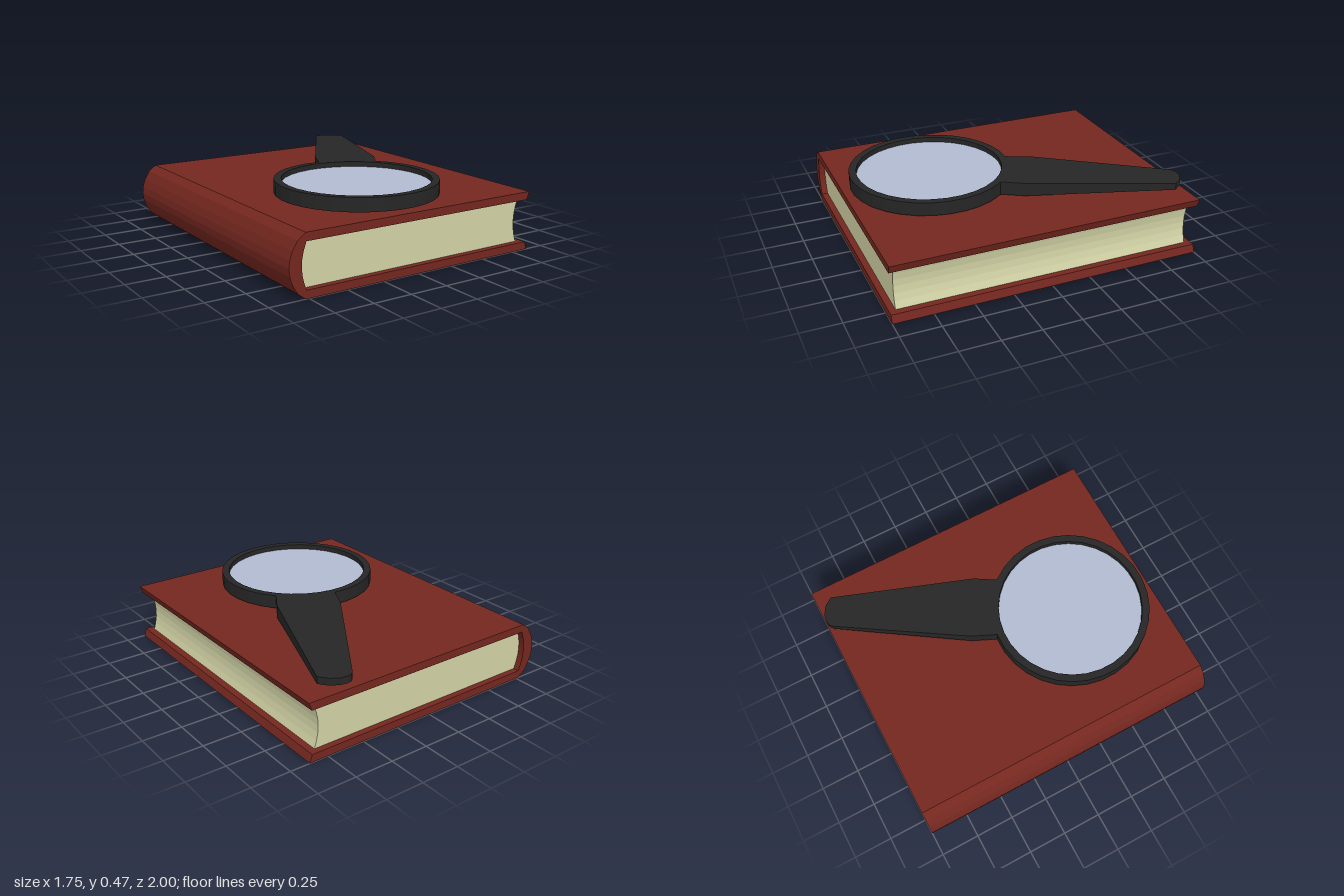
import * as THREE from 'three';

const material = (color) => new THREE.MeshStandardMaterial({ color, flatShading: true });
const leather = material(0x74271f);
const paper = material(0xd3d4a6);
const black = material(0x262626);
const glass = material(0xb2bbd2);

const MID = 0.187; // half the height of the closed book

// Upper half of a profile given as [x, height above middle], mirrored below it
const mirrored = (pts) => [
  ...pts.map(([x, y]) => [x, MID + y]),
  ...pts.slice().reverse().filter(([, y]) => y > 0).map(([x, y]) => [x, MID - y]),
];

// Profile in xy, extruded along z and centred
function slab(name, pts, depth, mat) {
  const shape = new THREE.Shape(pts.map(([x, y]) => new THREE.Vector2(x, y)));
  const geo = new THREE.ExtrudeGeometry(shape, { depth, bevelEnabled: false });
  geo.translate(0, 0, -depth / 2);
  const mesh = new THREE.Mesh(geo, mat);
  mesh.name = name;
  return mesh;
}

// Tapered handle: a loop of rectangular sections, thinning toward the tip
function handleGeometry(centre, midY) {
  const sections = [
    [[0, -0.065], [0.34, 0.11]],
    [[0.07, -0.22], [0.42, -0.02]],
    [[0.56, -0.97], [0.75, -0.9]],
    [[0.58, -0.988], [0.71, -0.955]],
    [[0.61, -0.994], [0.655, -0.988]],
  ];
  const pos = [];
  const index = [];
  sections.forEach(([a, b], i) => {
    const mx = (a[0] + b[0]) / 2 - centre.x;
    const mz = (a[1] + b[1]) / 2 - centre.z;
    const t = THREE.MathUtils.clamp((Math.hypot(mx, mz) - 0.64) / 0.92, 0, 1);
    const h = i < 2 ? 0.043 : THREE.MathUtils.lerp(0.043, 0.022, t);
    pos.push(a[0], midY + h, a[1], b[0], midY + h, b[1]);
    pos.push(b[0], midY - h, b[1], a[0], midY - h, a[1]);
    if (i === 0) return;
    for (let k = 0; k < 4; k++) {
      const p = (i - 1) * 4 + k, q = (i - 1) * 4 + ((k + 1) % 4);
      index.push(p, q, q + 4, p, q + 4, p + 4);
    }
  });
  const e = (sections.length - 1) * 4;
  index.push(0, 2, 1, 0, 3, 2, e, e + 1, e + 2, e, e + 2, e + 3);
  const geo = new THREE.BufferGeometry();
  geo.setAttribute('position', new THREE.Float32BufferAttribute(pos, 3));
  geo.setIndex(index);
  const flat = geo.toNonIndexed();
  flat.computeVertexNormals();
  return flat;
}

export function createModel() {
  const model = new THREE.Group();

  // Book: cover wraps round the spine, pages sit inside it
  const book = new THREE.Group();
  book.name = 'book';
  const innerSpine = [[-0.765, 0.137], [-0.782, 0.09], [-0.792, 0.045], [-0.795, 0]];
  const outerSpine = [[-0.875, 0], [-0.87, 0.045], [-0.853, 0.095], [-0.82, 0.15], [-0.77, MID]];
  const outer = mirrored([[0.872, MID], ...outerSpine.slice().reverse()]);
  const inner = mirrored([[0.855, 0.137], ...innerSpine]);
  book.add(slab('cover', [...outer, ...inner.reverse()], 2, leather));

  // Page block with a hollow fore edge
  const foreEdge = [[0.812, 0.137], [0.798, 0.09], [0.789, 0.045], [0.786, 0]];
  const pages = [...mirrored(innerSpine), ...mirrored(foreEdge).reverse()];
  book.add(slab('pages', pages, 1.92, paper));
  model.add(book);

  // Magnifying glass lying on the cover
  const magnifier = new THREE.Group();
  magnifier.name = 'magnifyingGlass';
  const centre = new THREE.Vector3(-0.05, 0, 0.44);
  const midY = 0.43;
  const SIDES = 32;

  const rimProfile = [[0.465, -0.043], [0.512, -0.043], [0.512, 0.043], [0.465, 0.043], [0.465, -0.043]]
    .map(([r, y]) => new THREE.Vector2(r, y));
  const rim = new THREE.Mesh(new THREE.LatheGeometry(rimProfile, SIDES, Math.PI / SIDES), black);
  rim.name = 'rim';
  rim.position.set(centre.x, midY, centre.z);

  const lens = new THREE.Mesh(new THREE.CylinderGeometry(0.468, 0.468, 0.02, SIDES, 1, false, Math.PI / SIDES), glass);
  lens.name = 'lens';
  lens.position.copy(rim.position);

  const handle = new THREE.Mesh(handleGeometry(centre, midY), black);
  handle.name = 'handle';

  magnifier.add(rim, lens, handle);
  model.add(magnifier);
  return model;
}
